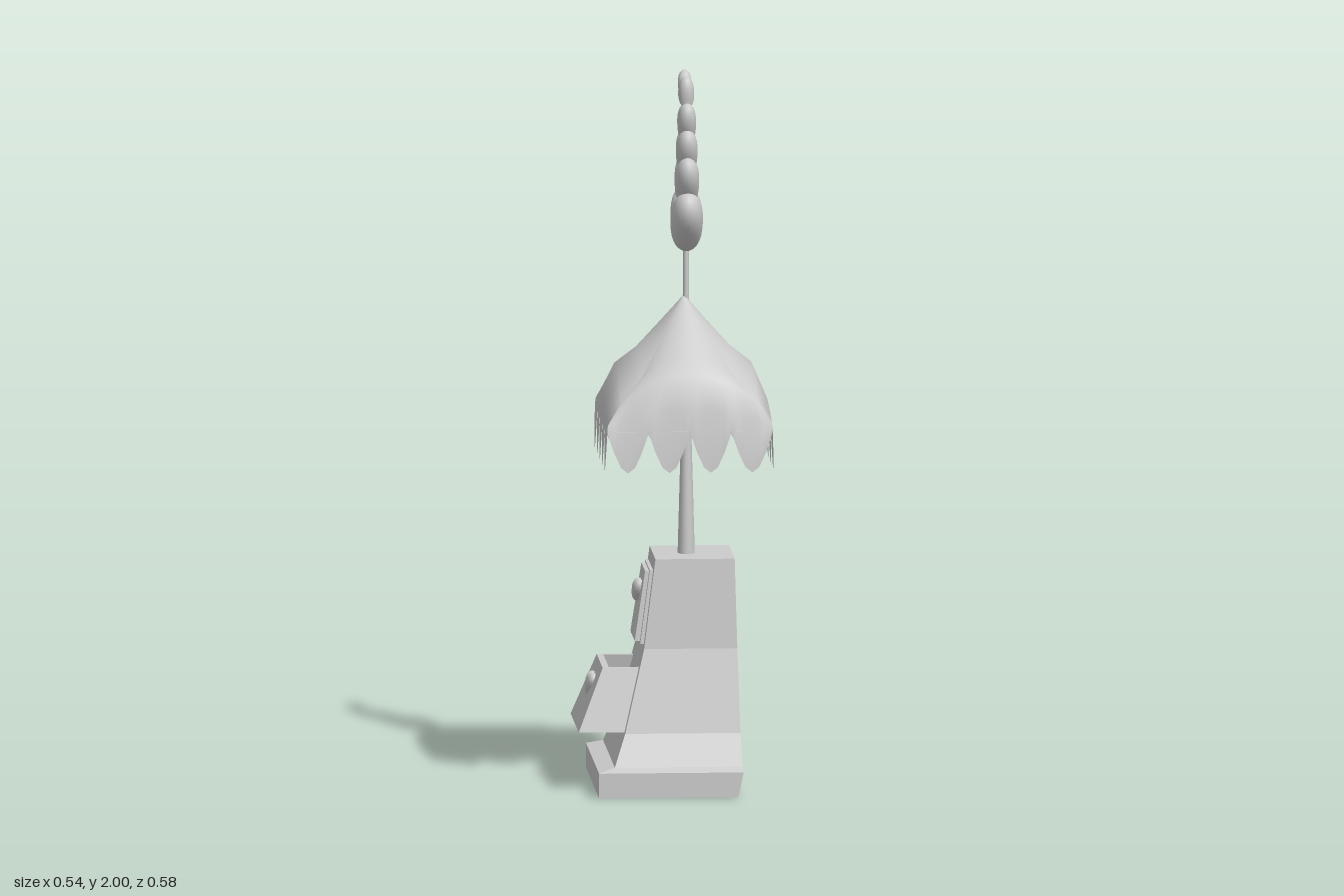
import * as THREE from 'three';
import { mergeVertices } from 'three/addons/utils/BufferGeometryUtils.js';

const POLE_X = 0.042;
const material = (flat, side = THREE.FrontSide) =>
  new THREE.MeshStandardMaterial({ color: 0xcccccc, flatShading: flat, side });

function addMesh(parent, name, geometry, mat) {
  const mesh = new THREE.Mesh(geometry, mat);
  mesh.name = name;
  parent.add(mesh);
  return mesh;
}

// Solid through rectangular levels [y, xMin, xMax, halfDepth], capped at both ends
function loft(levels) {
  const pos = [], index = [];
  for (const [y, x0, x1, d] of levels) pos.push(x0, y, d, x1, y, d, x1, y, -d, x0, y, -d);
  const last = (levels.length - 1) * 4;
  for (let r = 0; r < last; r += 4) {
    for (let i = 0; i < 4; i++) {
      const j = (i + 1) % 4;
      index.push(r + i, r + j, r + 4 + j, r + i, r + 4 + j, r + 4 + i);
    }
  }
  index.push(0, 2, 1, 0, 3, 2, last, last + 1, last + 2, last, last + 2, last + 3);
  const g = new THREE.BufferGeometry();
  g.setAttribute('position', new THREE.Float32BufferAttribute(pos, 3));
  g.setIndex(index);
  const flat = g.toNonIndexed();
  flat.computeVertexNormals();
  return flat;
}

// Puffed heart in the yz plane: a sphere whose rings follow a full, shallow-notched outline
function heart(halfWidth, halfHeight, halfThickness) {
  const g = new THREE.SphereGeometry(1, 32, 16);
  const p = g.attributes.position;
  for (let i = 0; i < p.count; i++) {
    const x = p.getX(i), y = p.getY(i), z = p.getZ(i);
    const ring = Math.hypot(x, z) ** 0.75, t = Math.atan2(x, z);
    const w = Math.sign(x) * Math.abs(Math.sin(t)) ** 2;
    const h = (13 * Math.cos(t) - 3.5 * Math.cos(2 * t) - Math.cos(3 * t) - 0.3 * Math.cos(4 * t) + 2.8) / 13;
    p.setXYZ(i, y * halfThickness, h * ring * halfHeight, w * ring * halfWidth);
  }
  g.deleteAttribute('uv');
  g.deleteAttribute('normal');
  const merged = mergeVertices(g, 1e-5);
  merged.computeVertexNormals();
  return merged;
}

// One side of the canopy: a sagging cloth grid ending in pointed scallops
function canopySide(angle, tips) {
  // halfX, halfZ, height, corner sag
  const rows = [
    [0.004, 0.004, 1.375, 0], [0.06, 0.09, 1.31, 0.025], [0.13, 0.18, 1.232, 0.06],
    [0.19, 0.232, 1.185, 0.075], [0.23, 0.266, 1.09, 0.04], [0.232, 0.274, 1.03, 0],
  ];
  const cols = tips * 6, pos = [], index = [];
  const nx = Math.sin(angle), nz = Math.cos(angle);
  rows.forEach(([hx, hz, y, sag], r) => {
    for (let c = 0; c <= cols; c++) {
      const u = (2 * c) / cols - 1;
      const hem = r === rows.length - 1 ? Math.abs(Math.sin((Math.PI * c) / 6)) : 0;
      const out = hem * 0.004;
      pos.push((nx + nz * u) * hx + nx * out, y - sag * u * u - 0.114 * hem, (nz - nx * u) * hz + nz * out);
      if (r > 0 && c < cols) {
        const a = (r - 1) * (cols + 1) + c, b = a + cols + 1;
        index.push(a, b, a + 1, b, b + 1, a + 1);
      }
    }
  });
  const g = new THREE.BufferGeometry();
  g.setAttribute('position', new THREE.Float32BufferAttribute(pos, 3));
  g.setIndex(index);
  g.computeVertexNormals();
  return g;
}

export function createModel() {
  const model = new THREE.Group();
  model.name = 'drawerStandWithCanopy';
  const flat = material(true), smooth = material(false);

  // Plinth flowing into the curved cabinet
  addMesh(model, 'plinth', loft([[0, -0.22, 0.17, 0.29], [0.07, -0.22, 0.185, 0.29]]), flat);
  addMesh(model, 'cabinet', loft([
    [0.07, -0.22, 0.185, 0.29], [0.082, -0.174, 0.183, 0.26], [0.17, -0.142, 0.181, 0.212],
    [0.4, -0.085, 0.176, 0.15], [0.65, -0.052, 0.17, 0.128],
  ]), flat);

  // Closed upper drawer with a raised panel
  const upper = new THREE.Group();
  upper.name = 'upperDrawer';
  model.add(upper);
  addMesh(upper, 'drawerFrame', loft([[0.41, -0.094, -0.06, 0.118], [0.615, -0.066, -0.04, 0.102]]), flat);
  addMesh(upper, 'drawerPanel', loft([[0.415, -0.108, -0.07, 0.095], [0.61, -0.078, -0.05, 0.082]]), flat);
  const upperKnob = addMesh(upper, 'heartKnob', heart(0.034, 0.032, 0.018), smooth);
  upperKnob.position.set(-0.092, 0.546, 0);
  upperKnob.rotation.z = -0.1;

  // Open lower drawer, hollow from the top
  const lower = new THREE.Group();
  lower.name = 'lowerDrawer';
  model.add(lower);
  addMesh(lower, 'drawerBox', loft([
    [0.17, -0.27, -0.1, 0.18], [0.345, -0.2, -0.06, 0.132],
    [0.345, -0.182, -0.06, 0.115], [0.2, -0.23, -0.1, 0.15],
  ]), flat);
  const lowerKnob = addMesh(lower, 'heartKnob', heart(0.046, 0.035, 0.019), smooth);
  lowerKnob.position.set(-0.222, 0.28, 0);
  lowerKnob.rotation.z = -0.12;

  // Tapered oval pole and thin finial rod
  const pole = addMesh(model, 'pole', new THREE.CylinderGeometry(0.013, 0.024, 0.4, 16), smooth);
  pole.position.set(POLE_X, 0.85, 0.004);
  pole.scale.z = 1.35;
  const rod = addMesh(model, 'finialRod', new THREE.CylinderGeometry(0.008, 0.008, 0.22, 12), smooth);
  rod.position.set(POLE_X, 1.43, 0);

  // Four-sided cloth canopy closed by a flat ceiling above the scallops
  const canopy = new THREE.Group();
  canopy.name = 'canopy';
  canopy.position.x = 0.036;
  model.add(canopy);
  const cloth = material(false, THREE.DoubleSide);
  for (let k = 0; k < 4; k++) {
    addMesh(canopy, 'canopySide', canopySide((k * Math.PI) / 2, k % 2 ? 5 : 4), cloth);
  }
  const ceiling = addMesh(canopy, 'canopyCeiling', new THREE.PlaneGeometry(0.462, 0.546), cloth);
  ceiling.rotation.x = Math.PI / 2;
  ceiling.position.y = 1.032;

  // Curling stack of shrinking hearts: y, z, halfWidth, halfHeight, halfThickness, tilt
  const hearts = [
    [1.592, 0.022, 0.09, 0.09, 0.045, 0.12],
    [1.703, 0.034, 0.07, 0.074, 0.034, 0.05],
    [1.786, 0.027, 0.058, 0.064, 0.03, -0.05],
    [1.866, 0.025, 0.05, 0.056, 0.026, -0.15],
    [1.946, 0.002, 0.042, 0.043, 0.022, -0.6],
    [1.964, -0.059, 0.035, 0.036, 0.019, -1.2],
  ];
  const finial = new THREE.Group();
  finial.name = 'heartFinial';
  finial.position.x = POLE_X;
  model.add(finial);
  for (const [y, z, w, h, t, tilt] of hearts) {
    const m = addMesh(finial, 'finialHeart', heart(w, h, t), smooth);
    m.position.set(0, y, z);
    m.rotation.x = tilt;
  }
  return model;
}
